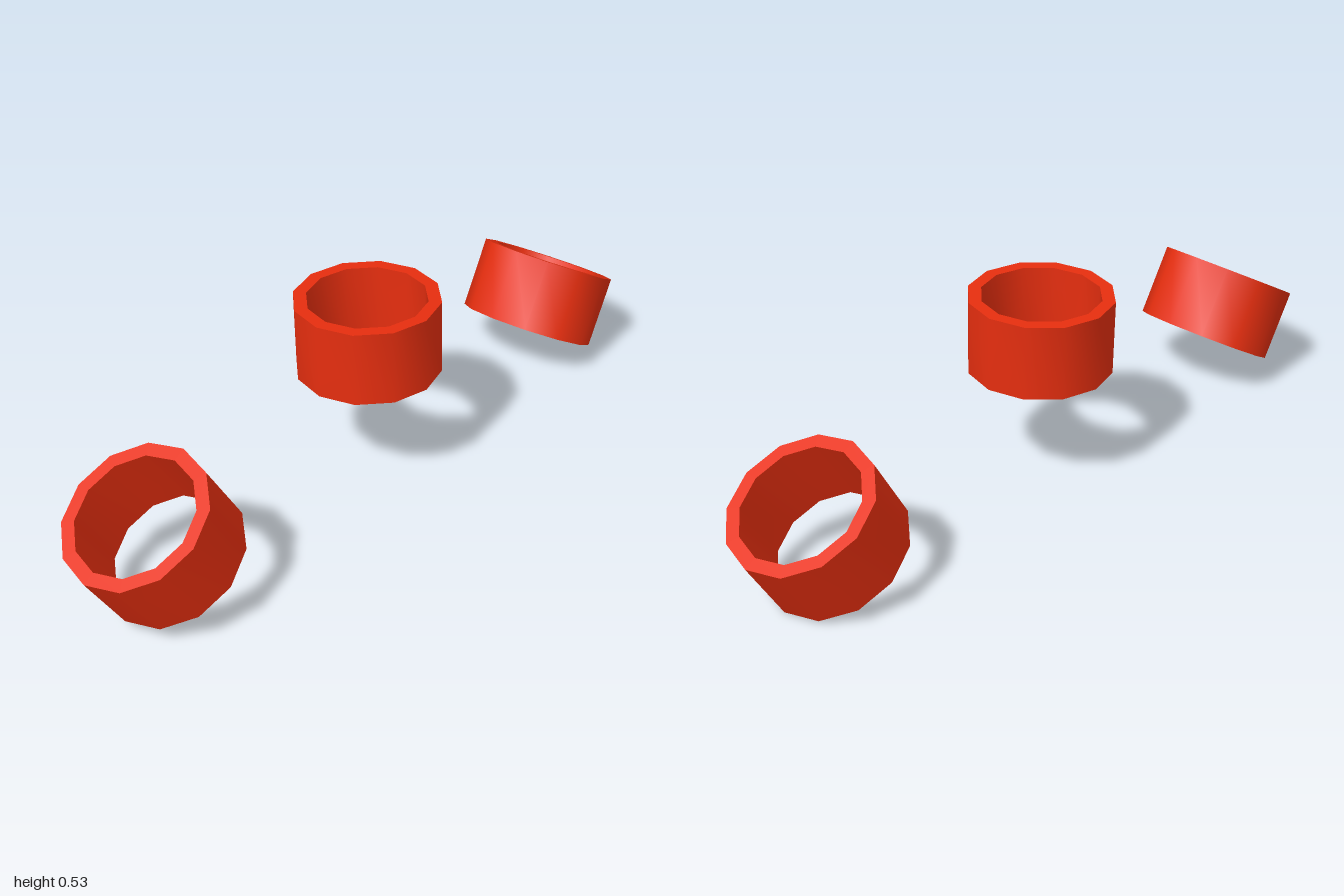
import * as THREE from 'three';
import { toCreasedNormals } from 'three/addons/utils/BufferGeometryUtils.js';

const OUTER = 0.195, INNER = 0.16, HALF_HEIGHT = 0.1025, SIDES = 12;

// Twelve-sided tube with smooth walls and sharp rims
function ringGeometry() {
  const profile = [
    [INNER, -HALF_HEIGHT], [OUTER, -HALF_HEIGHT],
    [OUTER, HALF_HEIGHT], [INNER, HALF_HEIGHT],
    [INNER, -HALF_HEIGHT],
  ].map(([r, y]) => new THREE.Vector2(r, y));
  return toCreasedNormals(new THREE.LatheGeometry(profile, SIDES), 0.7);
}

export function createModel() {
  const model = new THREE.Group();
  model.name = 'threeRings';
  const geometry = ringGeometry();
  const material = new THREE.MeshStandardMaterial({ color: 0xe62e0f });

  // name, x, y, lean about z
  const rings = [
    ['rightRing', -0.78, 0.222, Math.PI / 6],
    ['middleRing', -0.001, 0.42, 0],
    ['leftRing', 0.78, 0.187, -Math.PI / 6],
  ];
  for (const [name, x, y, lean] of rings) {
    const ring = new THREE.Mesh(geometry, material);
    ring.name = name;
    ring.position.set(x, y, 0);
    ring.rotation.set(-0.029, 0, lean); // slight backward tilt shared by all
    model.add(ring);
  }
  return model;
}
